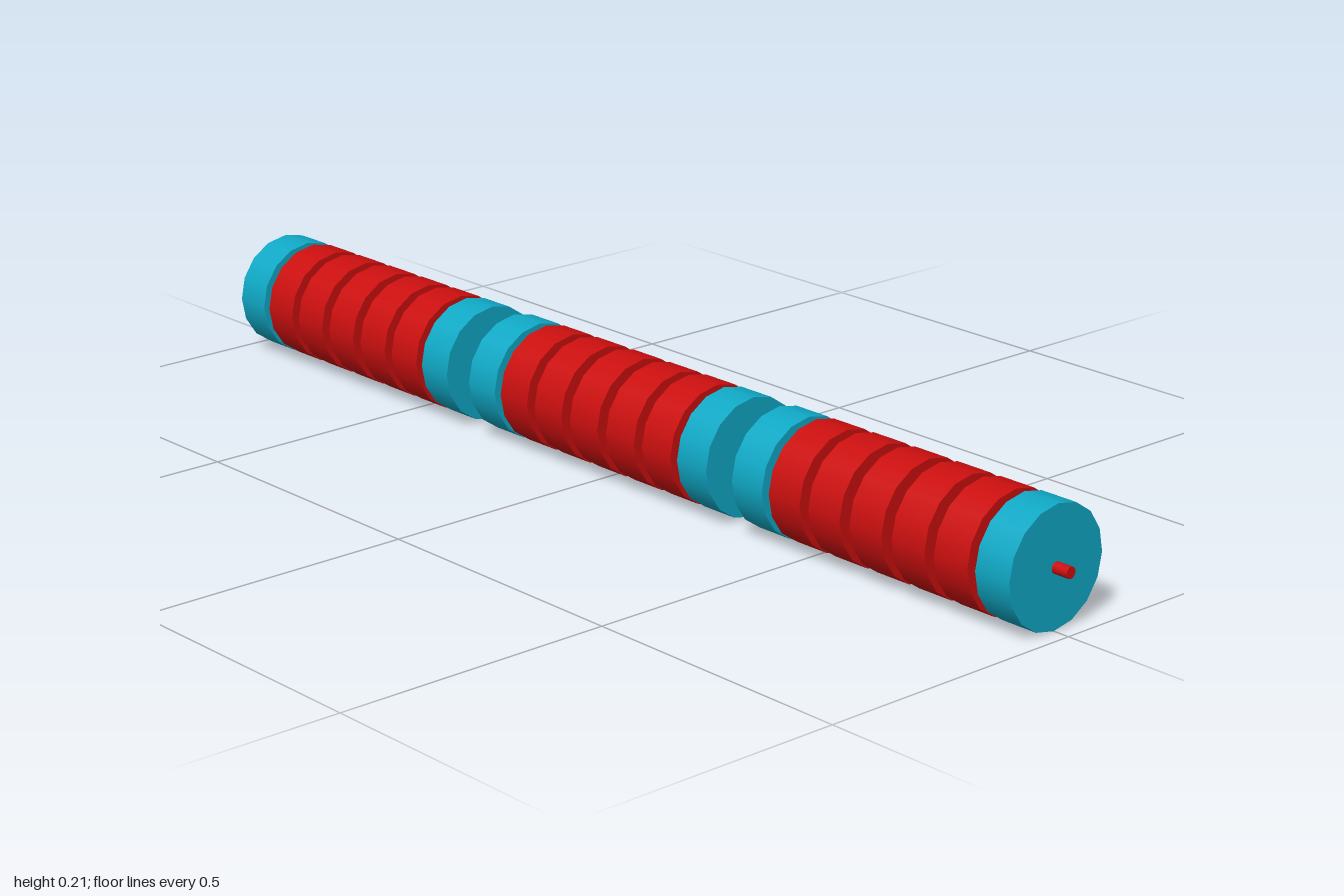
import * as THREE from 'three';

const RADIUS = 0.1035;

export function createModel() {
  const model = new THREE.Group();
  model.name = 'rollerBar';

  const red = new THREE.MeshStandardMaterial({ color: 0xcc0f0f });
  red.name = 'red';
  const teal = new THREE.MeshStandardMaterial({ color: 0x10a9c6 });
  teal.name = 'teal';

  // Cylinder lying along x
  const rodAlongX = (radius, length) =>
    new THREE.CylinderGeometry(radius, radius, length, 16).rotateZ(Math.PI / 2);

  const add = (parent, name, geometry, material, x) => {
    const mesh = new THREE.Mesh(geometry, material);
    mesh.name = name;
    mesh.position.x = x;
    parent.add(mesh);
  };

  // Thin shaft running through everything
  const assembly = new THREE.Group();
  assembly.name = 'shaftAndDiscs';
  assembly.position.y = RADIUS;
  model.add(assembly);
  add(assembly, 'shaft', rodAlongX(0.01, 2), red, 0);

  // Three sections: five red discs between two teal end discs
  const disc = rodAlongX(RADIUS, 0.07);
  const offsets = [-0.268, -0.182, -0.092, 0, 0.092, 0.182, 0.268];
  for (const centre of [-0.667, 0, 0.667]) {
    const section = new THREE.Group();
    section.name = 'discSection';
    section.position.x = centre;
    offsets.forEach((x, i) => {
      const isEnd = i === 0 || i === offsets.length - 1;
      add(section, isEnd ? 'endDisc' : 'middleDisc', disc, isEnd ? teal : red, x);
    });
    assembly.add(section);
  }

  return model;
}
